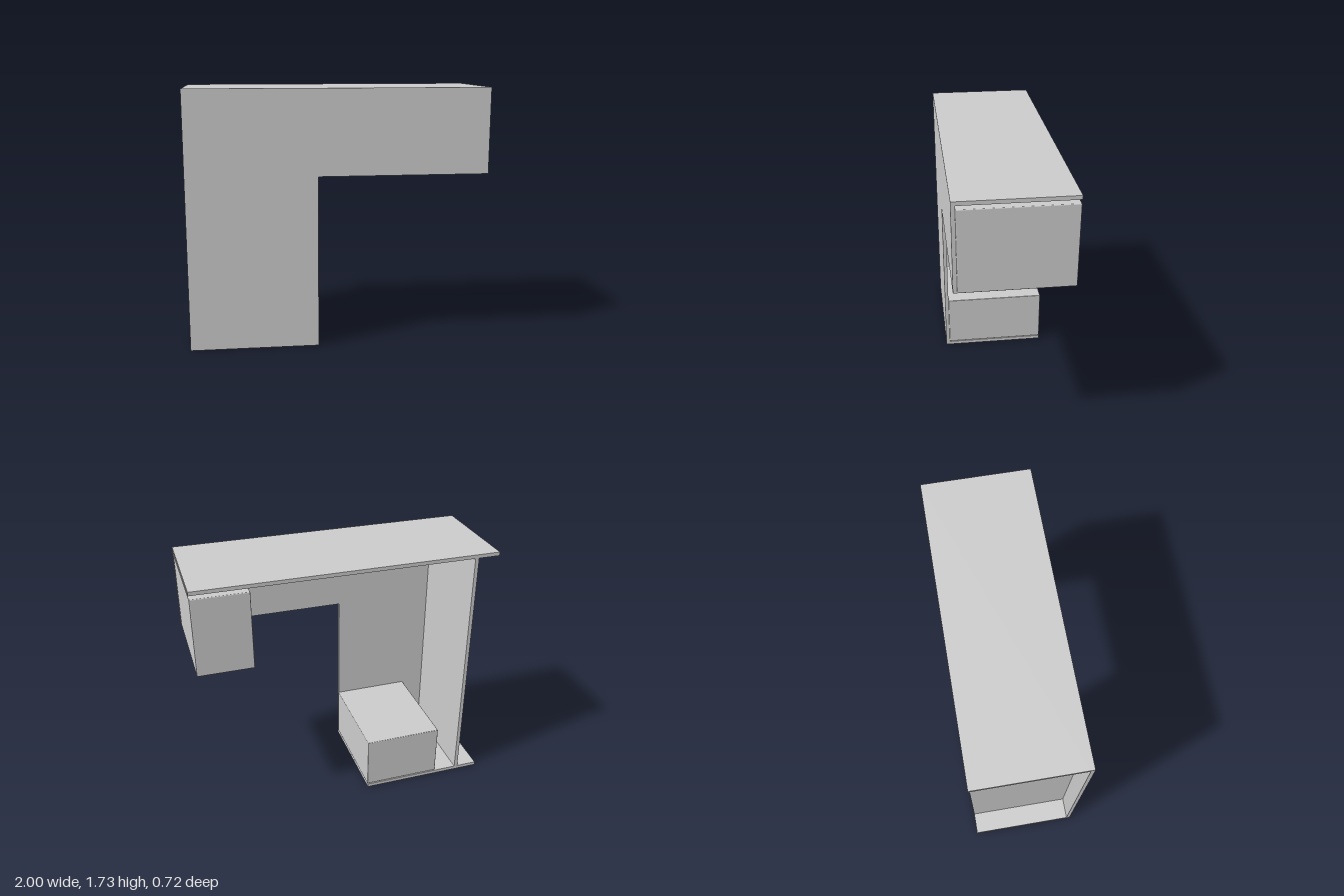
import * as THREE from 'three';
import { RoundedBoxGeometry } from 'three/addons/geometries/RoundedBoxGeometry.js';

const material = new THREE.MeshStandardMaterial({ color: 0xcccccc });
const T = 0.025;        // panel thickness
const H = 1.73;         // overall height
const D = 0.36;         // half depth
const LEG = -0.14;      // inner edge of the upright part
const ARM = 1.16;       // underside of the overhanging part

export function createModel() {
  const group = new THREE.Group();

  const add = (name, geometry) => {
    const mesh = new THREE.Mesh(geometry, material);
    mesh.name = name;
    group.add(mesh);
    return mesh;
  };

  // Box given by its two opposite corners; a radius softens the edges
  const block = (name, [x0, y0, z0], [x1, y1, z1], radius = 0) => {
    const size = [x1 - x0, y1 - y0, z1 - z0];
    const geometry = radius
      ? new RoundedBoxGeometry(...size, 2, radius)
      : new THREE.BoxGeometry(...size);
    add(name, geometry).position.set((x0 + x1) / 2, (y0 + y1) / 2, (z0 + z1) / 2);
  };

  // L-shaped front panel
  const outline = new THREE.Shape([
    [-1, 0], [LEG, 0], [LEG, ARM], [1, ARM], [1, H], [-1, H],
  ].map(([x, y]) => new THREE.Vector2(x, y)));
  add('frontPanel', new THREE.ExtrudeGeometry(outline, { depth: T, bevelEnabled: false }))
    .position.z = D - T;

  // Top, base and upright divider behind the front
  block('topPanel', [-1, H - T, -D], [1, H, D - T]);
  block('basePanel', [-1, 0, -D], [LEG, T, D - T]);
  block('divider', [-0.855, T, -D], [-0.83, H - T, D - T]);

  // Closed compartments at the foot and at the end of the overhang
  block('lowerCompartment', [-0.67, 0.03, -D], [-0.136, 0.395, D - T], 0.006);
  block('upperCompartment', [0.635, 1.157, -D], [0.998, 1.68, D - T], 0.006);

  return group;
}
